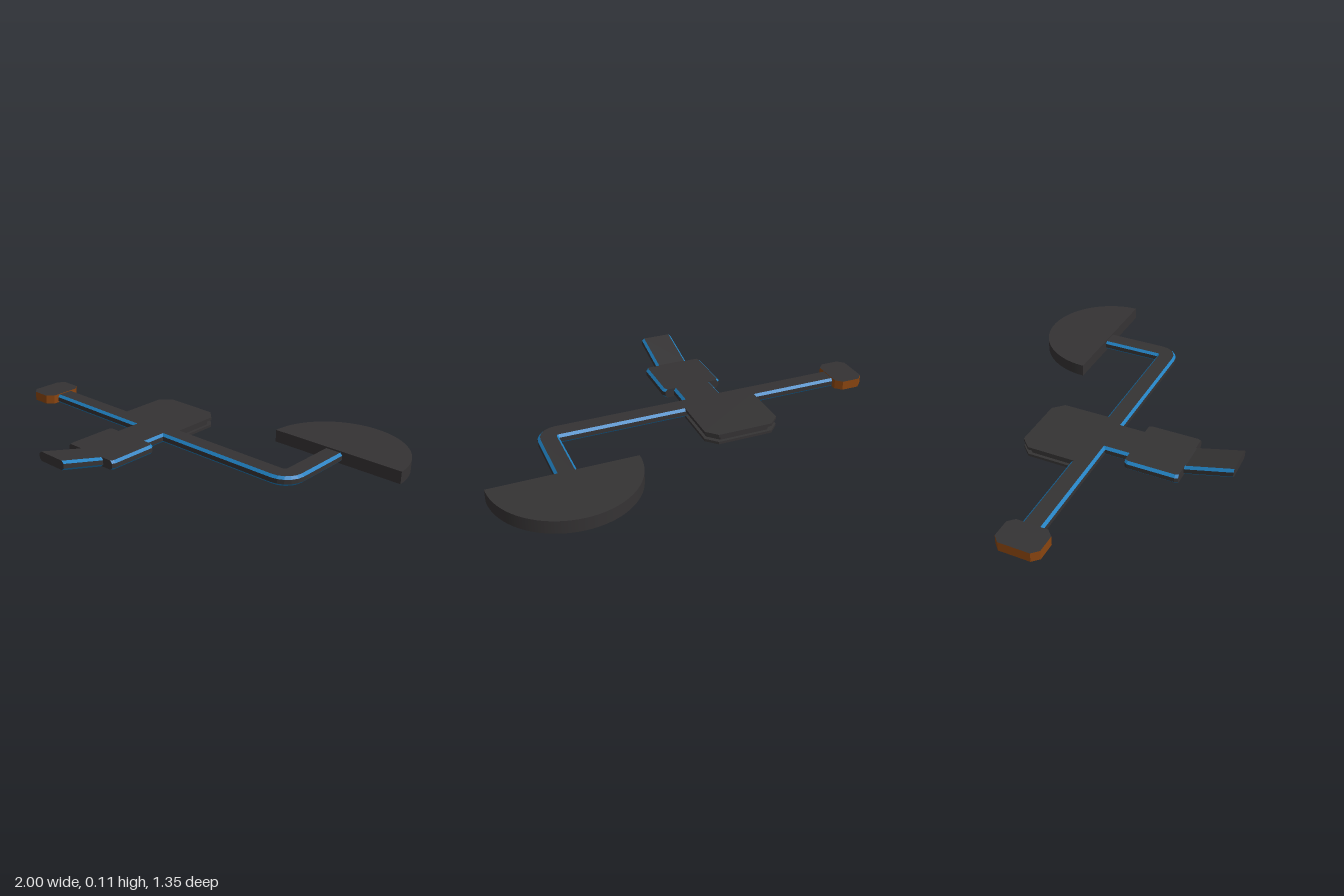
import * as THREE from 'three';

const dark = new THREE.MeshStandardMaterial({ color: 0x353334, flatShading: true });
const blue = new THREE.MeshStandardMaterial({ color: 0x1f7fbf, flatShading: true });
const orange = new THREE.MeshStandardMaterial({ color: 0x8a4510, flatShading: true });

const BEVEL = 0.012;
const HALF_HEIGHT = 0.023;
const MID = 0.033;

// One cross-section of a passage: centre, heading (0 = +x, turning to -z), half width
const station = (x, y, z, heading, half) => ({ x, y, z, heading, half });

function sectionPoints({ x, y, z, heading, half }) {
  const w = half, h = HALF_HEIGHT, b = BEVEL;
  const outline = [
    [w, -h + b], [w, h - b], [w - b, h], [-w + b, h],
    [-w, h - b], [-w, -h + b], [-w + b, -h], [w - b, -h],
  ];
  return outline.map(([s, up]) =>
    new THREE.Vector3(x + s * Math.sin(heading), y + up, z + s * Math.cos(heading)));
}

function meshFrom(points, material, name) {
  const geometry = new THREE.BufferGeometry().setFromPoints(points);
  geometry.computeVertexNormals();
  const mesh = new THREE.Mesh(geometry, material);
  mesh.name = name;
  return mesh;
}

// Eight-sided passage: dark panels with blue bevelled edges
function passage(name, stations) {
  const rings = stations.map(sectionPoints);
  const panels = [], trim = [];
  for (let i = 0; i < rings.length - 1; i++) {
    const p = rings[i], q = rings[i + 1];
    for (let k = 0; k < 8; k++) {
      const n = (k + 1) % 8;
      (k % 2 ? trim : panels).push(p[k], q[k], q[n], p[k], q[n], p[n]);
    }
  }
  const first = rings[0], last = rings[rings.length - 1];
  for (let k = 1; k < 7; k++) {
    panels.push(first[0], first[k], first[k + 1]);
    panels.push(last[0], last[k + 1], last[k]);
  }
  const group = new THREE.Group();
  group.name = name;
  group.add(meshFrom(panels, dark, name + 'Panels'), meshFrom(trim, blue, name + 'Trim'));
  return group;
}

// Flat plate from a plan outline (x, z) between two heights
function plate(name, shape, bottom, top, side = dark) {
  const geometry = new THREE.ExtrudeGeometry(shape, {
    depth: top - bottom, bevelEnabled: false, curveSegments: 40,
  });
  geometry.rotateX(Math.PI / 2).translate(0, top, 0);
  const mesh = new THREE.Mesh(geometry, [dark, side]);
  mesh.name = name;
  return mesh;
}

// Rectangle in plan with cut corners at the back and, optionally, the front
function cutRectangle(x0, x1, z0, z1, back, front) {
  const points = [[x0 + back, z0], [x1 - back, z0], [x1, z0 + back], [x1, z1 - front]];
  if (front) points.push([x1 - front, z1], [x0 + front, z1]);
  points.push([x0, z1 - front], [x0, z0 + back]);
  return new THREE.Shape(points.map(([x, z]) => new THREE.Vector2(x, z)));
}

export function createModel() {
  const model = new THREE.Group();
  model.name = 'stationLayout';

  // Main corridor with its bend toward the half-round room
  const corridor = [station(-0.87, MID, 0.018, 0, 0.05)];
  for (let i = 0; i <= 5; i++) {
    const a = (i / 5) * Math.PI / 2;
    corridor.push(station(0.59 + 0.053 * Math.sin(a), MID, -0.035 + 0.053 * Math.cos(a), a, 0.05));
  }
  corridor.push(station(0.643, MID, -0.36, Math.PI / 2, 0.05));
  model.add(passage('corridor', corridor));

  // Front branch: neck, wide junction and rising ramp
  const front = -Math.PI / 2;
  model.add(passage('neck', [
    station(-0.16, MID, 0.03, front, 0.1),
    station(-0.16, MID, 0.2, front, 0.1),
  ]));
  model.add(passage('junction', [
    station(-0.16, MID, 0.185, front, 0.145),
    station(-0.16, MID, 0.2, front, 0.155),
    station(-0.16, MID, 0.43, front, 0.155),
    station(-0.16, MID, 0.445, front, 0.148),
  ]));
  model.add(passage('ramp', [
    station(-0.155, MID, 0.42, front, 0.083),
    station(-0.155, MID, 0.45, front, 0.083),
    station(-0.155, 0.091, 0.672, front, 0.083),
  ]));

  // Back room: two slabs around a recessed core
  const room = cutRectangle(-0.405, -0.035, -0.305, -0.01, 0.05, 0);
  model.add(plate('backRoomFloor', room, 0.005, 0.018));
  model.add(plate('backRoomCore', cutRectangle(-0.39, -0.05, -0.29, -0.01, 0.05, 0), 0.018, 0.042));
  model.add(plate('backRoomRoof', room, 0.042, 0.056));

  // End room with orange walls
  model.add(plate('endRoom', cutRectangle(-1, -0.85, -0.085, 0.125, 0.03, 0.03), 0.014, 0.06, orange));

  // Half-round room
  const halfRound = new THREE.Shape();
  halfRound.absarc(0.655, -0.335, 0.342, Math.PI, Math.PI * 2, false);
  halfRound.closePath();
  model.add(plate('halfRoundRoom', halfRound, 0.002, 0.063));

  return model;
}
